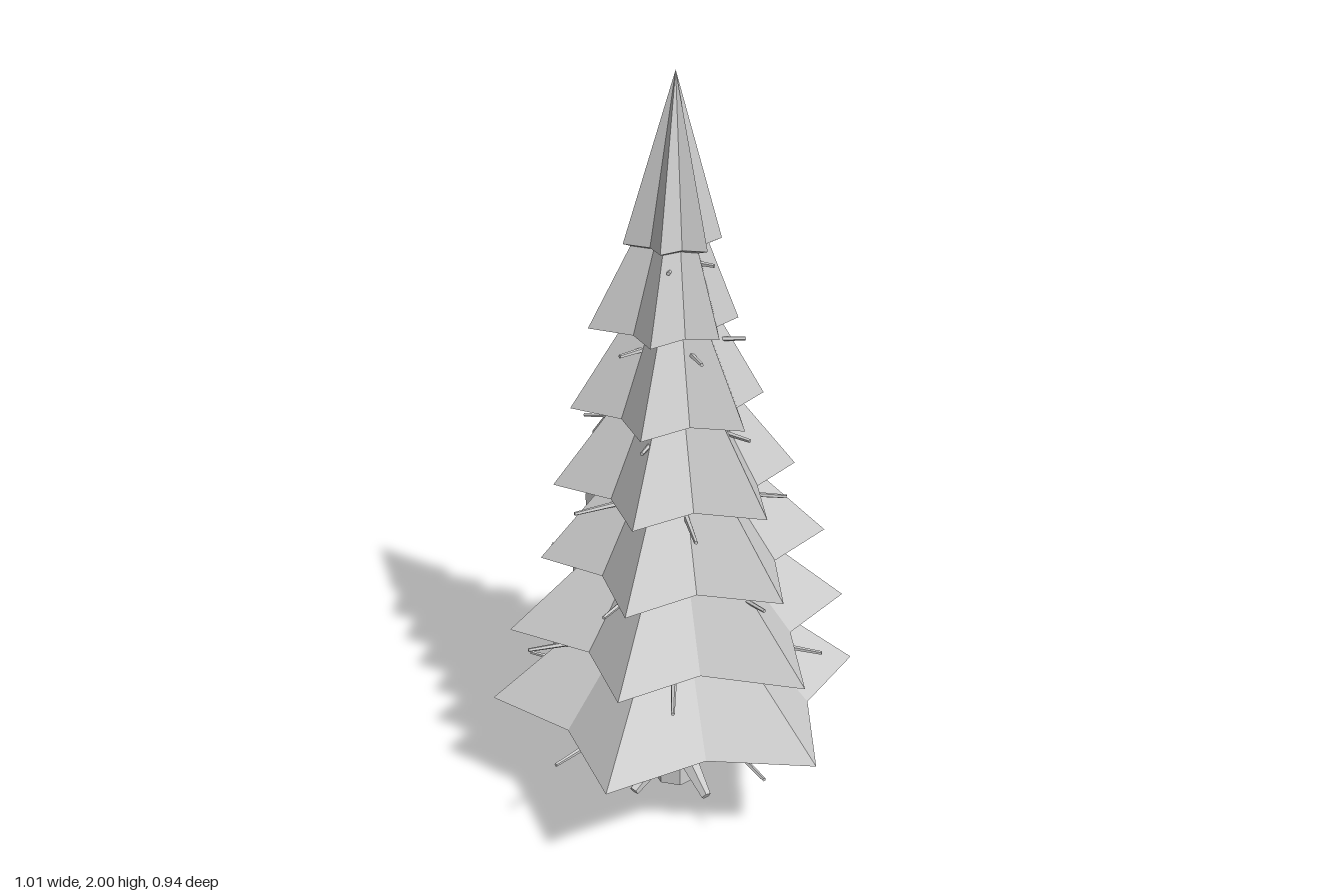
import * as THREE from 'three';

const grey = new THREE.MeshStandardMaterial({ color: 0xcccccc, flatShading: true });
grey.name = 'pale grey';

// Tip radii of each bough tier, every 60 degrees starting at +x and turning toward +z
const TIERS = [
  [0.505, 0.54, 0.545, 0.505, 0.525, 0.545],
  [0.47, 0.49, 0.45, 0.45, 0.45, 0.50],
  [0.41, 0.405, 0.39, 0.36, 0.385, 0.395],
  [0.32, 0.34, 0.33, 0.32, 0.345, 0.34],
  [0.23, 0.255, 0.265, 0.27, 0.265, 0.265],
  [0.16, 0.16, 0.19, 0.22, 0.20, 0.18],
  [0.115, 0.115, 0.115, 0.13, 0.125, 0.12],
];
const TWIG_REACH = [0.46, 0.41, 0.345, 0.29, 0.235, 0.175, 0.105];

function addMesh(parent, name, geometry) {
  const mesh = new THREE.Mesh(geometry, grey);
  mesh.name = name;
  parent.add(mesh);
  return mesh;
}

function polar(radius, degrees, y) {
  const a = THREE.MathUtils.degToRad(degrees);
  return new THREE.Vector3(radius * Math.cos(a), y, radius * Math.sin(a));
}

// Six-pointed star cone with a shallow, downward-pointing underside
function starCone(tips, valleyRatio, y, height) {
  const rim = [];
  tips.forEach((r, i) => {
    const next = tips[(i + 1) % tips.length];
    rim.push(polar(r, i * 60, y));
    rim.push(polar(valleyRatio * (r + next) / 2, i * 60 + 30, y));
  });
  const apex = new THREE.Vector3(0, y + height, 0);
  const under = new THREE.Vector3(0, y - 0.04, 0);
  const points = [];
  rim.forEach((a, i) => {
    const b = rim[(i + 1) % rim.length];
    points.push(a, apex, b, a, b, under);
  });
  const geometry = new THREE.BufferGeometry().setFromPoints(points);
  geometry.computeVertexNormals();
  return geometry;
}

// Tapered rod between two points
function addRod(parent, name, from, to, r0, r1, sides) {
  const dir = to.clone().sub(from);
  const rod = addMesh(parent, name, new THREE.CylinderGeometry(r1, r0, dir.length(), sides));
  rod.position.copy(from).addScaledVector(dir, 0.5);
  rod.quaternion.setFromUnitVectors(new THREE.Vector3(0, 1, 0), dir.normalize());
}

export function createModel() {
  const tree = new THREE.Group();
  tree.name = 'pineTree';

  // Trunk, hidden inside the boughs higher up
  const trunk = addMesh(tree, 'trunk', new THREE.CylinderGeometry(0.02, 0.065, 1.6, 7));
  trunk.position.y = 0.8;

  // Roots splaying from the trunk foot
  const roots = new THREE.Group();
  roots.name = 'roots';
  for (let k = 0; k < 5; k++) {
    addRod(roots, 'root', polar(0.02, k * 72, 0.115), polar(0.172, k * 72, 0.03), 0.033, 0.014, 5);
  }
  tree.add(roots);

  // Bough tiers, each with a ring of bare twigs just beneath it
  const boughs = new THREE.Group();
  boughs.name = 'boughs';
  const twigs = new THREE.Group();
  twigs.name = 'twigs';
  TIERS.forEach((tips, i) => {
    const y = 0.325 + i * 0.2105;
    const top = i === TIERS.length - 1 ? 2 : y + 0.415;
    addMesh(boughs, 'boughTier', starCone(tips, i === 0 ? 0.72 : 0.67, y, top - y));
    for (let k = 0; k < 5; k++) {
      const angle = i * 30.5 + k * 72;
      const twigY = 0.28 + i * 0.21;
      addRod(twigs, 'twig', polar(0.02, angle, twigY), polar(TWIG_REACH[i], angle, twigY), 0.014 - i * 0.001, 0.005, 5);
    }
  });
  tree.add(boughs, twigs);
  return tree;
}
